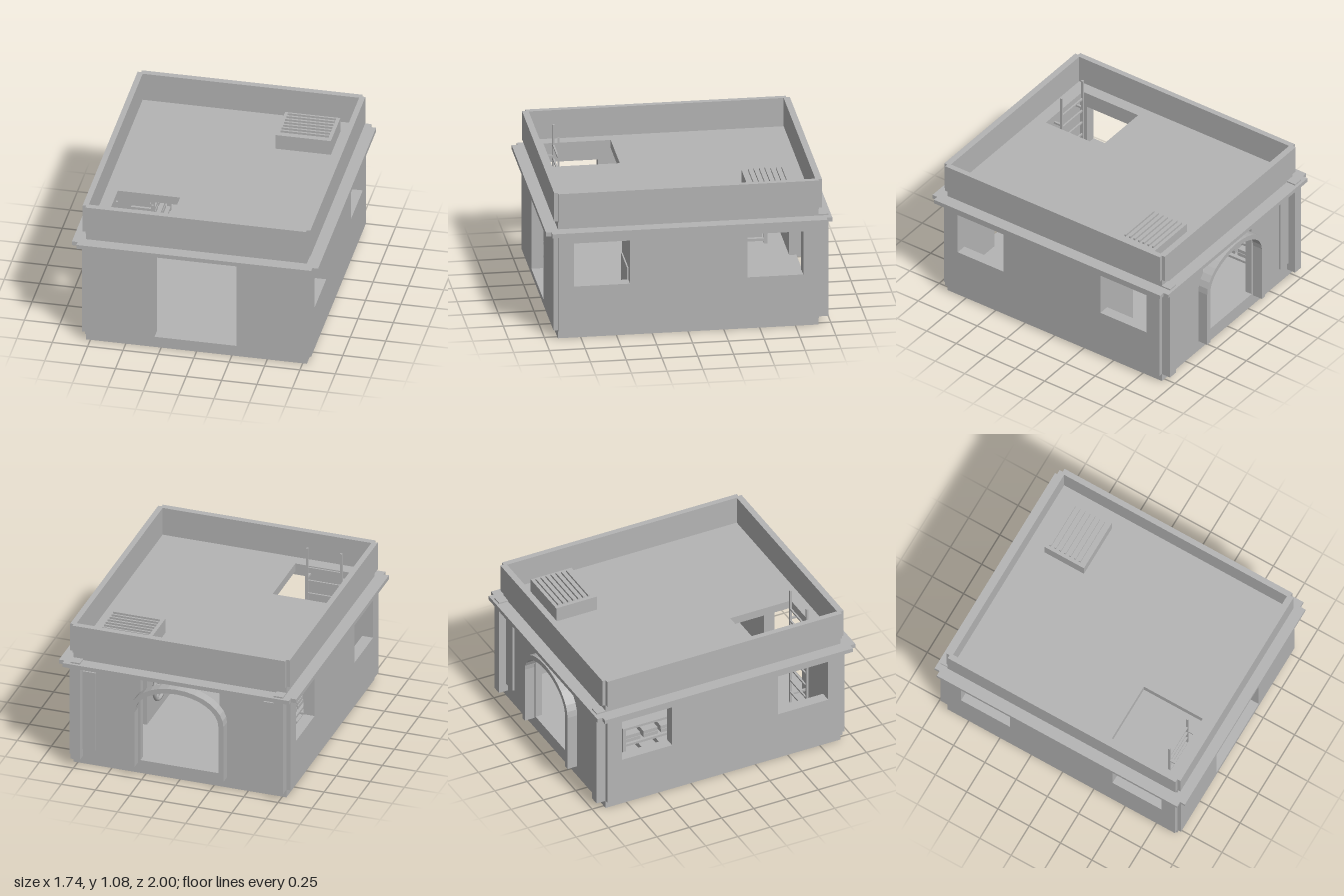
import * as THREE from 'three';

const stone = new THREE.MeshStandardMaterial({ color: 0xb4b4b4 });
stone.name = 'grey stone';

export function createModel() {
  const model = new THREE.Group();
  model.name = 'building';

  const add = (name, geometry, parent = model) => {
    const mesh = new THREE.Mesh(geometry, stone);
    mesh.name = name;
    parent.add(mesh);
    return mesh;
  };
  // Box given by its limits on each axis
  const box = (name, x0, x1, y0, y1, z0, z1, parent) => {
    const g = new THREE.BoxGeometry(x1 - x0, y1 - y0, z1 - z0);
    g.translate((x0 + x1) / 2, (y0 + y1) / 2, (z0 + z1) / 2);
    return add(name, g, parent);
  };
  const rect = (x0, x1, y0, y1) =>
    [[x0, y0], [x1, y0], [x1, y1], [x0, y1]].map(([x, y]) => new THREE.Vector2(x, y));
  const extrude = (points, holes, depth) => {
    const shape = new THREE.Shape(points);
    holes.forEach(h => shape.holes.push(new THREE.Path(h)));
    return new THREE.ExtrudeGeometry(shape, { depth, bevelEnabled: false });
  };
  // Horizontal slab with small square notches at its corners
  const slab = (name, w, d, n, y0, y1, hole) => {
    const pts = [
      [w - n, -d], [w - n, -d + n], [w, -d + n], [w, d - n], [w - n, d - n], [w - n, d],
      [n - w, d], [n - w, d - n], [-w, d - n], [-w, n - d], [n - w, n - d], [n - w, -d],
    ].map(([x, y]) => new THREE.Vector2(x, y));
    const g = extrude(pts, [hole], y1 - y0);
    g.rotateX(-Math.PI / 2).translate(0, y0, 0);
    return add(name, g);
  };

  // Base and floor
  box('base', -0.78, 0.78, 0, 0.06, -0.91, 0.91);
  box('floor', -0.74, 0.74, 0.06, 0.1, -0.87, 0.87);

  // Front and back walls with doorways
  const doorway = rect(-0.29, 0.29, 0.1, 0.75);
  add('frontWall', extrude(rect(-0.78, 0.78, 0.06, 0.81), [doorway], 0.08).translate(0, 0, 0.86));
  add('backWall', extrude(rect(-0.78, 0.78, 0.06, 0.81), [doorway], 0.05).translate(0, 0, -0.91));

  // Side walls with two windows each
  for (const x of [-0.81, 0.73]) {
    const g = extrude(rect(-0.91, 0.91, 0.06, 0.81),
      [rect(-0.8, -0.41, 0.39, 0.71), rect(0.41, 0.8, 0.39, 0.71)], 0.08);
    g.rotateY(Math.PI / 2).translate(x, 0, 0);
    add('sideWall', g);
  }

  // Cornice, roof with hatch, and parapet
  slab('cornice', 0.87, 1, 0.04, 0.78, 0.81, rect(-0.73, 0.73, -0.86, 0.86));
  const roof = extrude(rect(-0.78, 0.78, -0.91, 0.91), [rect(-0.68, -0.24, -0.8, -0.33)], 0.06);
  add('roof', roof.rotateX(-Math.PI / 2).translate(0, 0.81, 0));
  slab('parapet', 0.805, 0.935, 0.025, 0.87, 1.08, rect(-0.765, 0.765, -0.89, 0.89));

  // Pilasters and framed panels on the back
  for (const s of [-1, 1]) {
    const xs = (a, b) => (s > 0 ? [a, b] : [-b, -a]);
    box('pilaster', ...xs(0.71, 0.78), 0.06, 0.82, -0.98, -0.91);
    const [p0, p1] = xs(0.615, 0.71);
    box('wallPanel', p0, p1, 0.12, 0.73, -0.925, -0.91);
  }

  // Arch surround: elliptical top on straight legs
  const archLine = (a, b) => {
    const pts = [new THREE.Vector2(a, 0.08)];
    for (let i = 0; i <= 16; i++) {
      const t = (i / 16) * Math.PI;
      pts.push(new THREE.Vector2(a * Math.cos(t), 0.51 + b * Math.sin(t)));
    }
    pts.push(new THREE.Vector2(-a, 0.08));
    return pts;
  };
  const archPoints = [...archLine(0.345, 0.232), ...archLine(0.307, 0.195).reverse()];
  add('archSurround', extrude(archPoints, [], 0.075).translate(0, 0, -0.985));

  // Rooftop vent with louvres
  const vent = new THREE.Group();
  vent.name = 'roofVent';
  model.add(vent);
  box('ventBox', 0.27, 0.66, 0.87, 0.98, -0.76, -0.445, vent);
  for (let i = 0; i < 7; i++) {
    const z = -0.735 + i * 0.039;
    box('ventSlat', 0.295, 0.635, 0.98, 0.995, z, z + 0.013, vent);
  }

  // Ladder up through the hatch
  const ladder = new THREE.Group();
  ladder.name = 'ladder';
  model.add(ladder);
  for (const x of [-0.605, -0.355]) {
    box('ladderRail', x, x + 0.015, 0.1, 1.04, 0.735, 0.75, ladder);
    for (const y of [0.16, 0.8]) box('ladderBracket', x, x + 0.015, y, y + 0.015, 0.75, 0.86, ladder);
  }
  for (let y = 0.18; y < 0.9; y += 0.1) {
    box('ladderRung', -0.59, -0.355, y, y + 0.012, 0.736, 0.748, ladder);
  }

  // Strong room with a round wheel on its door
  box('strongRoom', 0.42, 0.74, 0.1, 0.81, -0.41, 0.41);
  box('lowLedge', 0.45, 0.73, 0.1, 0.48, 0.41, 0.42);
  const wheel = new THREE.Group();
  wheel.name = 'doorWheel';
  wheel.position.set(0.4, 0.32, -0.2);
  wheel.rotation.y = Math.PI / 2;
  model.add(wheel);
  add('wheelRim', new THREE.TorusGeometry(0.11, 0.015, 6, 20), wheel);
  for (let i = 0; i < 3; i++) {
    const spoke = add('wheelSpoke', new THREE.BoxGeometry(0.21, 0.016, 0.016), wheel);
    spoke.rotation.z = (i * Math.PI) / 3;
  }

  // Shelf rack with stacked goods
  const rack = new THREE.Group();
  rack.name = 'shelfRack';
  model.add(rack);
  for (const x of [-0.72, -0.555]) {
    for (const z of [-0.745, -0.2]) box('rackPost', x, x + 0.025, 0.1, 0.57, z, z + 0.025, rack);
  }
  for (const y of [0.12, 0.27, 0.42, 0.555]) {
    box('shelf', -0.72, -0.53, y, y + 0.018, -0.745, -0.175, rack);
  }
  for (const y of [0.138, 0.288, 0.438]) {
    for (let i = 0; i < 4; i++) {
      const z = -0.71 + i * 0.135;
      box('lowerStack', -0.7, -0.56, y, y + 0.026, z, z + 0.11, rack);
      box('upperStack', -0.695, -0.565, y + 0.026, y + 0.052, z, z + 0.11, rack);
    }
  }

  return model;
}
